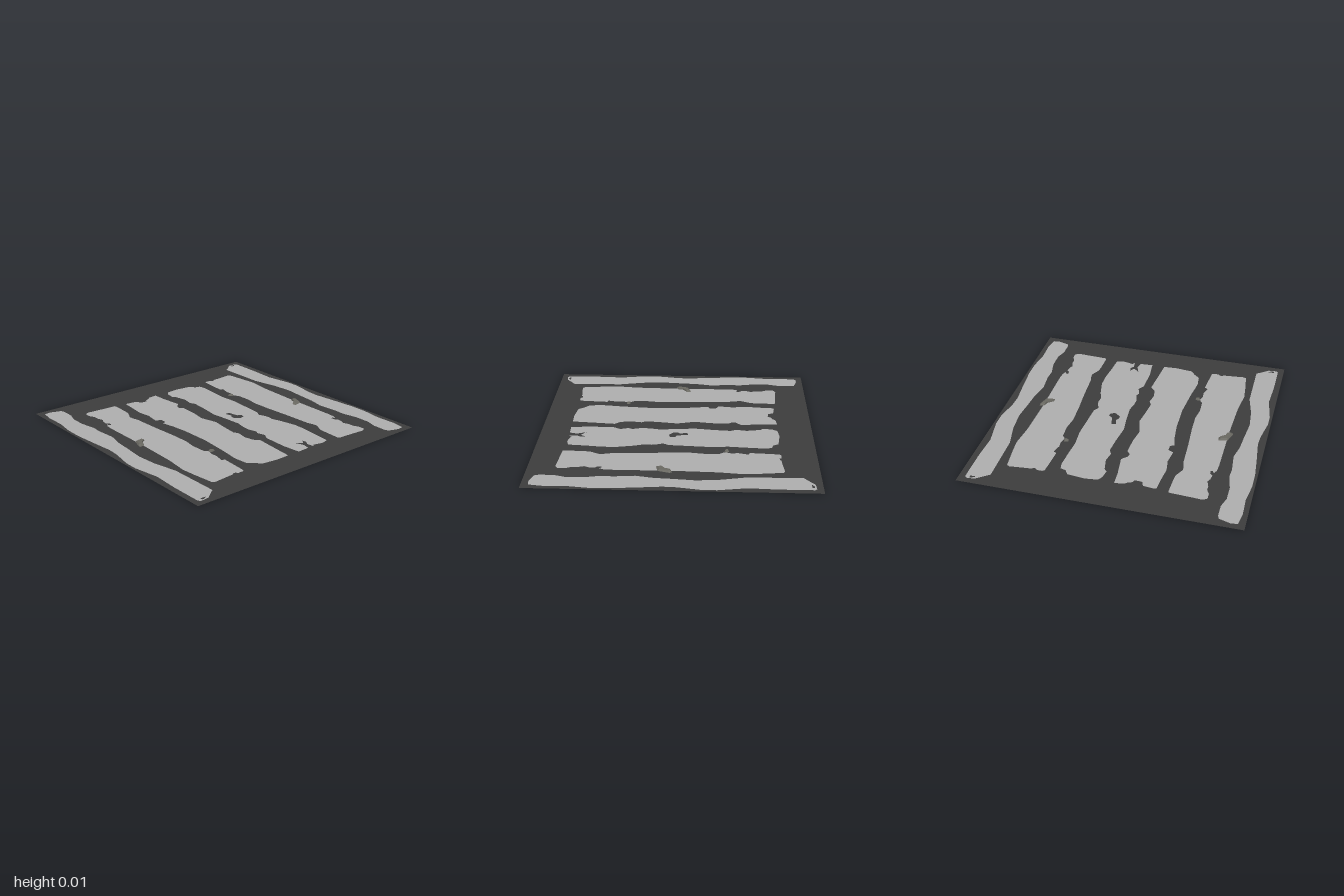
import * as THREE from 'three';

// Outlines are [x, z] points on the ground; a half turn gives the opposite stripe.
const halfTurn = (pts, shift = 0) => pts.map(([x, z]) => [-x, shift - z]);
const toVectors = (pts) => pts.map(([x, z]) => new THREE.Vector2(x, -z));

function makeShape(pts, holes = []) {
  const shape = new THREE.Shape(toVectors(pts));
  shape.holes = holes.map((h) => new THREE.Path(toVectors(h)));
  return shape;
}

function flat(name, material, pts, holes) {
  const mesh = new THREE.Mesh(new THREE.ShapeGeometry(makeShape(pts, holes)).rotateX(-Math.PI / 2), material);
  mesh.name = name;
  return mesh;
}

// Low chip of stone: a prism whose top is drawn in towards its middle
function stone(name, material, pts, height) {
  const geo = new THREE.ExtrudeGeometry(makeShape(pts), { depth: height, bevelEnabled: false });
  geo.rotateX(-Math.PI / 2);
  const cx = pts.reduce((s, p) => s + p[0], 0) / pts.length;
  const cz = pts.reduce((s, p) => s + p[1], 0) / pts.length;
  const pos = geo.attributes.position;
  for (let i = 0; i < pos.count; i++) {
    if (pos.getY(i) < height / 2) continue;
    pos.setX(i, cx + (pos.getX(i) - cx) * 0.72);
    pos.setZ(i, cz + (pos.getZ(i) - cz) * 0.72);
  }
  geo.computeVertexNormals();
  const mesh = new THREE.Mesh(geo, material);
  mesh.name = name;
  return mesh;
}

// Worn edge stripe
const edge = [
  [-.95, -.95], [-.9, -.955], [-.82, -.93], [-.81, -.9], [-.81, -.8], [-.835, -.72], [-.835, -.6],
  [-.81, -.48], [-.815, -.4], [-.8, -.25], [-.825, -.13], [-.835, 0], [-.85, .16], [-.835, .32],
  [-.795, .5], [-.79, .88], [-.83, .91], [-.88, .95], [-.94, .955], [-.955, .94], [-.955, .7],
  [-.945, .5], [-.98, .3], [-.98, .2], [-.95, .03], [-.945, -.06], [-.965, -.25], [-.98, -.42],
  [-.98, -.55], [-.96, -.7], [-.965, -.85],
];
const edgeSpot = [[-.925, .925], [-.88, .925], [-.9, .94], [-.92, .945]];

// Outer crossing stripe
const outer = [
  [-.71, -.75], [-.68, -.77], [-.62, -.765], [-.53, -.76], [-.445, -.755], [-.44, -.74], [-.445, -.6],
  [-.45, -.56], [-.485, -.49], [-.48, -.44], [-.47, -.41], [-.46, -.2], [-.445, 0], [-.44, .15],
  [-.455, .25], [-.45, .36], [-.425, .39], [-.44, .44], [-.435, .49], [-.455, .56], [-.43, .57],
  [-.435, .65], [-.445, .78], [-.46, .79], [-.5, .79], [-.51, .775], [-.53, .775], [-.54, .785],
  [-.6, .79], [-.7, .8], [-.72, .79], [-.74, .63], [-.75, .52], [-.73, .35], [-.72, .05], [-.72, -.2],
  [-.72, -.38], [-.715, -.44], [-.7, -.47], [-.69, -.45], [-.675, -.45], [-.675, -.48], [-.695, -.5],
  [-.69, -.54], [-.675, -.57], [-.69, -.62], [-.69, -.66], [-.71, -.7],
];

// Two middle stripes with different wear
const innerRight = [
  [-.355, -.73], [-.34, -.74], [-.26, -.73], [-.25, -.71], [-.245, -.69], [-.19, -.685], [-.18, -.71],
  [-.15, -.72], [-.13, -.74], [-.06, -.75], [-.055, -.64], [-.035, -.48], [-.075, -.44], [-.08, -.41],
  [-.055, -.38], [-.06, -.25], [-.08, -.13], [-.045, 0], [-.065, .14], [-.075, .24], [-.055, .27],
  [-.07, .36], [-.055, .43], [-.02, .47], [-.035, .62], [-.05, .79], [-.15, .795], [-.28, .78],
  [-.31, .74], [-.355, .7], [-.365, .6], [-.345, .45], [-.325, .22], [-.33, 0], [-.345, -.13],
  [-.365, -.23], [-.335, -.24], [-.335, -.29], [-.375, -.31], [-.36, -.42], [-.375, -.52], [-.36, -.65],
];
const innerLeft = [
  [.06, -.745], [.15, -.755], [.28, -.74], [.305, -.7], [.345, -.69], [.355, -.64], [.345, -.5],
  [.335, -.38], [.345, -.25], [.335, -.1], [.325, .05], [.3, .09], [.32, .14], [.325, .17], [.32, .22],
  [.345, .3], [.37, .42], [.37, .52], [.355, .65], [.345, .77], [.29, .785], [.24, .775], [.215, .765],
  [.195, .785], [.19, .73], [.21, .7], [.205, .665], [.18, .7], [.135, .665], [.16, .73], [.145, .785],
  [.05, .79], [.035, .65], [.04, .47], [.07, .42], [.05, .36], [.065, .33], [.045, .26], [.05, .2],
  [.065, .13], [.055, 0], [.04, -.13], [.06, -.28], [.07, -.4], [.05, -.44], [.065, -.52],
  [.045, -.62], [.025, -.64], [.035, -.71],
];
const bareSpot = [
  [.115, -.08], [.15, -.085], [.16, -.03], [.17, 0], [.195, .01], [.19, .045], [.155, .055],
  [.11, .02], [.115, -.01], [.13, -.03],
];

const largeStone = [[-.66, -.085], [-.655, -.055], [-.7, -.02], [-.71, .02], [-.745, .03], [-.75, .01], [-.725, -.07]];
const smallStone = [[-.43, .39], [-.415, .38], [-.39, .39], [-.39, .41], [-.42, .415]];

export function createModel() {
  const asphalt = new THREE.MeshStandardMaterial({ color: 0x3e3e3e, side: THREE.DoubleSide });
  asphalt.name = 'asphalt';
  const paint = new THREE.MeshStandardMaterial({ color: 0xb0b0b0, side: THREE.DoubleSide });
  paint.name = 'wornPaint';
  const rock = new THREE.MeshStandardMaterial({ color: 0x6b6a63 });
  rock.name = 'stone';

  const model = new THREE.Group();
  model.name = 'roadCrossing';

  // Paint, with worn-through spots filled by asphalt
  const stripes = [
    ['edgeStripeRight', edge, [edgeSpot]],
    ['edgeStripeLeft', halfTurn(edge), [halfTurn(edgeSpot)]],
    ['outerStripeRight', outer, []],
    ['outerStripeLeft', halfTurn(outer, 0.04), []],
    ['innerStripeRight', innerRight, []],
    ['innerStripeLeft', innerLeft, [bareSpot]],
  ];
  for (const [name, pts, spots] of stripes) {
    model.add(flat(name, paint, pts, spots));
    for (const spot of spots) model.add(flat(name + 'BareSpot', asphalt, spot));
  }

  // Road surface, cut out around the paint
  const square = [[-1, -1], [1, -1], [1, 1], [-1, 1]];
  model.add(flat('roadSurface', asphalt, square, stripes.map((s) => s[1])));

  // Loose stones
  model.add(
    stone('largeStoneRight', rock, largeStone, 0.012),
    stone('largeStoneLeft', rock, halfTurn(largeStone, 0.035), 0.012),
    stone('smallStoneRight', rock, smallStone, 0.01),
    stone('smallStoneLeft', rock, halfTurn(smallStone, 0.03), 0.01),
  );
  return model;
}
